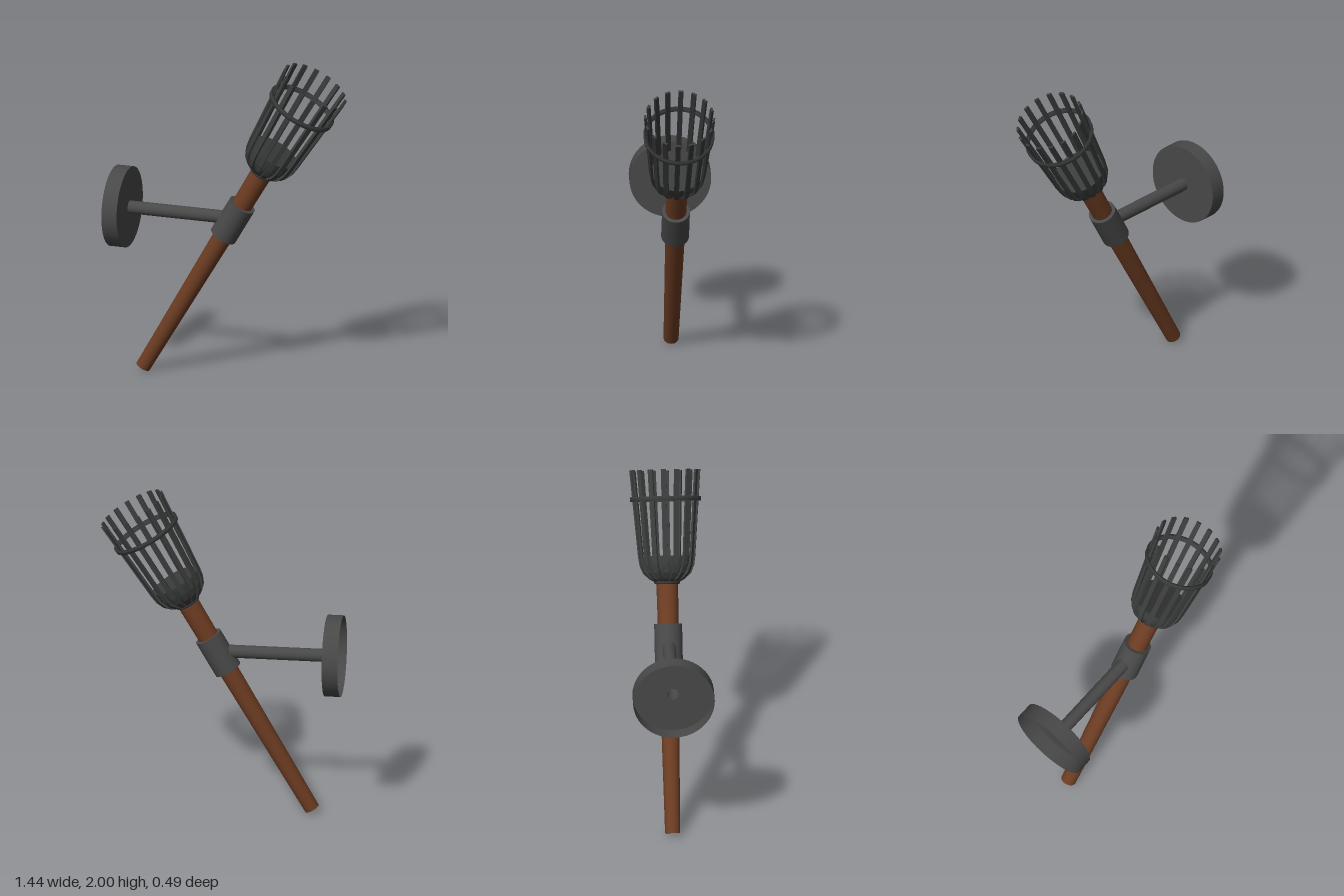
import * as THREE from 'three';

export function createModel() {
  const model = new THREE.Group();
  const iron = new THREE.MeshStandardMaterial({ name: 'iron', color: 0x484848 });
  const ironOpen = new THREE.MeshStandardMaterial({ name: 'iron sheet', color: 0x484848, side: THREE.DoubleSide });
  const darkIron = new THREE.MeshStandardMaterial({ name: 'dark iron', color: 0x3a3b3b });
  const wood = new THREE.MeshStandardMaterial({ name: 'wood', color: 0x6c3c22 });

  const add = (parent, name, geometry, material) => {
    const mesh = new THREE.Mesh(geometry, material);
    mesh.name = name;
    parent.add(mesh);
    return mesh;
  };
  // upright cylinder between two heights
  const rod = (rTop, rBottom, y0, y1, sides = 32, open = false) =>
    new THREE.CylinderGeometry(rTop, rBottom, y1 - y0, sides, 1, open).translate(0, (y0 + y1) / 2, 0);

  // Wall bracket: hollow-backed plate and a tubular arm along x
  const bracket = new THREE.Group();
  bracket.name = 'wallBracket';
  bracket.position.y = 1.01;
  model.add(bracket);
  const alongX = (g) => g.rotateZ(-Math.PI / 2); // +y becomes +x
  add(bracket, 'plateRim', alongX(rod(0.243, 0.243, -0.725, -0.63, 48, true)), ironOpen);
  add(bracket, 'plateFace',
    new THREE.RingGeometry(0.036, 0.243, 48).rotateY(Math.PI / 2).translate(-0.63, 0, 0), ironOpen);
  add(bracket, 'arm', alongX(rod(0.039, 0.039, -0.63, 0, 24, true)), ironOpen);

  // Torch: built upright from its foot, then leaned over
  const torch = new THREE.Group();
  torch.name = 'torch';
  torch.position.set(-0.545, 0.0225, 0);
  torch.rotation.z = -Math.PI / 6;
  model.add(torch);
  add(torch, 'shaft', rod(0.065, 0.045, 0, 1.5), wood);
  add(torch, 'collar', rod(0.083, 0.083, 1.005, 1.243), iron);
  add(torch, 'neckRing', new THREE.TorusGeometry(0.067, 0.011, 8, 32).rotateX(Math.PI / 2).translate(0, 1.49, 0), darkIron);

  // Bowl at the base of the basket
  const bowl = [[0, 1.495], [0.066, 1.495], [0.11, 1.525], [0.143, 1.58], [0.154, 1.645]];
  add(torch, 'bowl', new THREE.LatheGeometry(bowl.map(([r, y]) => new THREE.Vector2(r, y)), 32), darkIron);
  add(torch, 'bowlFloor', new THREE.CircleGeometry(0.154, 32).rotateX(-Math.PI / 2).translate(0, 1.645, 0), darkIron);

  // Basket bars: a bent strip profile repeated round the axis
  const outer = [[0.066, 1.488], [0.108, 1.51], [0.143, 1.545], [0.162, 1.59], [0.17, 1.645], [0.211, 2.158]];
  const inner = [[0.198, 2.158], [0.157, 1.645], [0.149, 1.595], [0.132, 1.556], [0.1, 1.523], [0.06, 1.5]];
  const profile = new THREE.Shape([...outer, ...inner].map(([r, y]) => new THREE.Vector2(r, y)));
  const width = 0.03;
  const barGeometry = new THREE.ExtrudeGeometry(profile, { depth: width, bevelEnabled: false });
  barGeometry.translate(0, 0, -width / 2);
  const bars = 16;
  for (let i = 0; i < bars; i++) {
    add(torch, 'basketBar', barGeometry, darkIron).rotation.y = (i / bars) * Math.PI * 2 - 0.08;
  }

  // Flat hoop tying the bars together
  const band = [[0.194, 1.972], [0.21, 1.972], [0.212, 1.998], [0.196, 1.998], [0.194, 1.972]];
  const hoop = new THREE.LatheGeometry(band.map(([r, y]) => new THREE.Vector2(r, y)), 40);
  add(torch, 'basketHoop', hoop, darkIron);

  return model;
}
